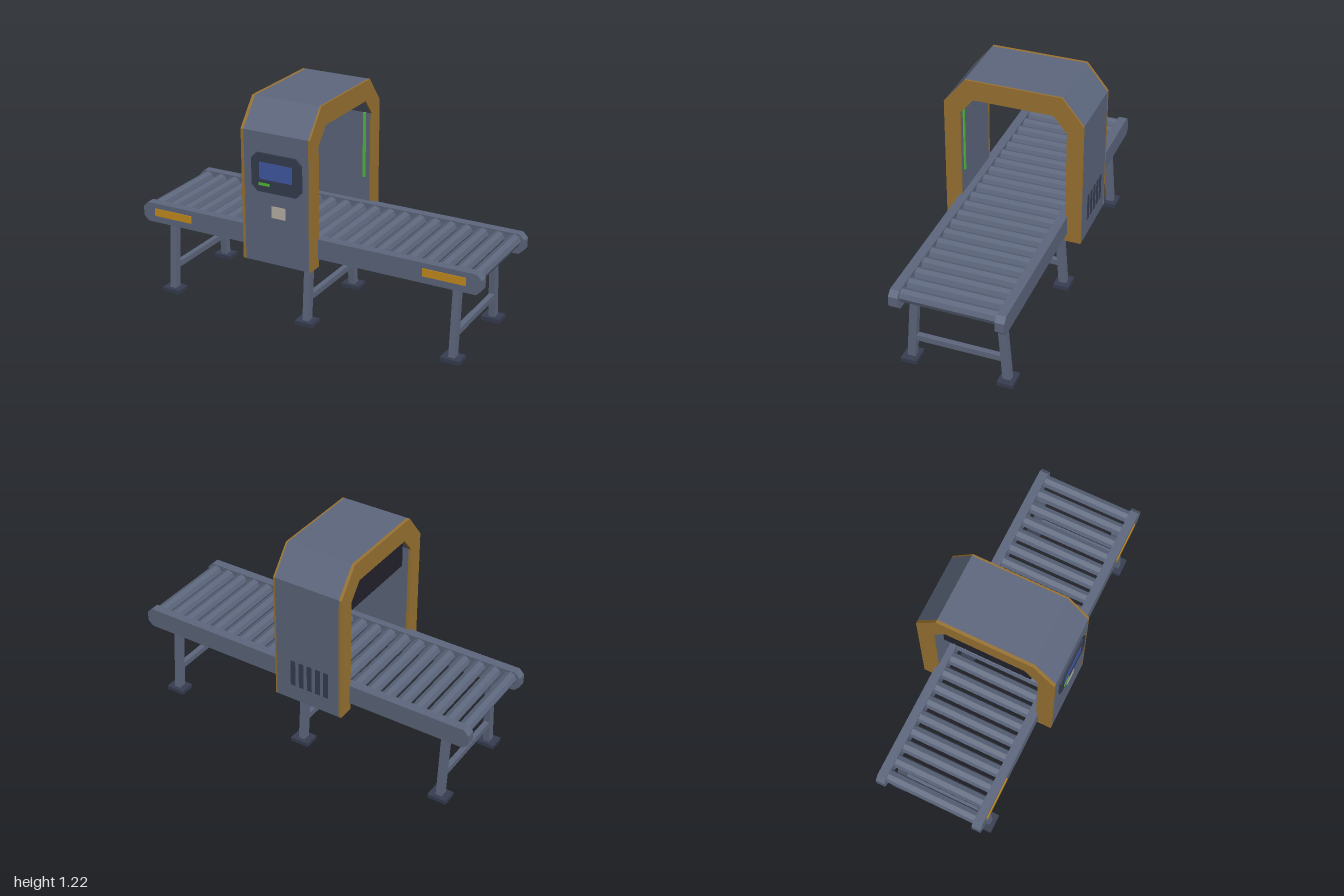
import * as THREE from 'three';

const mat = (name, color) => {
  const m = new THREE.MeshStandardMaterial({ color });
  m.name = name;
  return m;
};

export function createModel() {
  const steel = mat('steel', 0x5d677d);
  const dark = mat('dark steel', 0x373d51);
  const trim = mat('ochre trim', 0x9a7333);
  const amber = mat('amber marker', 0xc68c1e);
  const rubber = mat('black rubber', 0x23222e);
  const blue = mat('screen blue', 0x4159a3);
  const green = mat('green light', 0x52bd36);
  const beige = mat('beige label', 0xb9b4a8);

  const model = new THREE.Group();
  model.name = 'conveyorScanner';
  const body = new THREE.Group();
  body.name = 'scannerAssembly';
  body.position.z = -0.005;
  model.add(body);

  const add = (name, geo, material, parent = body) => {
    const mesh = new THREE.Mesh(geo, material);
    mesh.name = name;
    parent.add(mesh);
    return mesh;
  };
  // box given by its min and max on each axis
  const box = (name, material, [x0, x1], [y0, y1], [z0, z1], parent) => {
    const geo = new THREE.BoxGeometry(x1 - x0, y1 - y0, z1 - z0);
    geo.translate((x0 + x1) / 2, (y0 + y1) / 2, (z0 + z1) / 2);
    return add(name, geo, material, parent);
  };
  const extrude = (points, depth) => new THREE.ExtrudeGeometry(
    new THREE.Shape(points.map(([a, b]) => new THREE.Vector2(a, b))),
    { depth, bevelEnabled: false });
  // profile of [z, y] points swept along x
  const sweepX = (points, x0, x1) =>
    extrude(points.map(([z, y]) => [-z, y]), x1 - x0).rotateY(Math.PI / 2).translate(x0, 0, 0);
  // rectangle with cut corners
  const cutRect = (x0, x1, y0, y1, c) => [
    [x0 + c, y0], [x1 - c, y0], [x1, y0 + c], [x1, y1 - c],
    [x1 - c, y1], [x0 + c, y1], [x0, y1 - c], [x0, y0 + c]];

  // scanner arch: steel shell with ochre end frames
  const half = [[0.291, 0.362], [0.38, 0.362], [0.38, 1.078], [0.262, 1.224]];
  const inner = [[0.217, 1.113], [0.291, 1.023]];
  const flip = pts => pts.map(([z, y]) => [-z, y]).reverse();
  const arch = [...half, ...flip(half), ...flip(inner), ...inner];
  add('archShell', sweepX(arch, -0.296, 0.08), steel);
  add('archFrameRight', sweepX(arch, -0.313, -0.296), trim);
  add('archFrameLeft', sweepX(arch, 0.08, 0.09), trim);

  // control panel on the front wall
  const panel = new THREE.Group();
  panel.name = 'controlPanel';
  panel.position.z = 0.38;
  body.add(panel);
  add('panelHousing', extrude(cutRect(-0.248, 0.045, 0.76, 0.97, 0.033), 0.01), dark, panel);
  box('screen', blue, [-0.2, -0.008], [0.83, 0.922], [0.009, 0.012], panel);
  box('statusBar', green, [-0.205, -0.142], [0.795, 0.81], [0.009, 0.012], panel);
  box('label', beige, [-0.136, -0.056], [0.623, 0.687], [-0.001, 0.003], panel);

  // vent slots on the back wall
  for (let i = 0; i < 5; i++) {
    const x = -0.12 + (i - 2) * 0.05;
    box('ventSlot', dark, [x - 0.014, x + 0.014], [0.455, 0.607], [-0.383, -0.379]);
  }

  // curtain strips at one mouth of the tunnel
  for (let i = 0; i < 8; i++) {
    const z = (i - 3.5) * 0.0612;
    box('curtainStrip', rubber, [-0.288, -0.28], [0.943, 1.115], [z - 0.0285, z + 0.0285]);
  }

  // rollers
  const roller = new THREE.CylinderGeometry(0.036, 0.036, 0.51, 8).rotateX(Math.PI / 2).toNonIndexed();
  roller.computeVertexNormals();
  for (let i = 0; i < 22; i++) {
    add('roller', roller, steel).position.set(-0.945 + i * 0.09, 0.48, 0);
  }

  for (const s of [1, -1]) {
    const span = (a, b) => (s > 0 ? [a, b] : [-b, -a]);
    // side rail and tunnel light
    const rail = extrude(cutRect(-1, 1, 0.409, 0.519, 0.028), 0.05);
    add('sideRail', rail, steel).position.z = s > 0 ? 0.253 : -0.303;
    box('lightStrip', green, [0.04, 0.055], [0.655, 1.025], span(0.284, 0.292));

    // splayed legs and feet
    for (const x of [-0.845, 0, 0.845]) {
      const leg = [[0.238, 0.022], [0.282, 0.022], [0.249, 0.45], [0.205, 0.45]];
      add('leg', sweepX(s > 0 ? leg : flip(leg), x - 0.018, x + 0.018), steel);
      box('foot', dark, [x - 0.053, x + 0.053], [0, 0.022], span(0.219, 0.305));
    }
  }

  // cross braces between the legs
  for (const x of [-0.845, 0, 0.845]) {
    box('crossBrace', steel, [x - 0.015, x + 0.015], [0.13, 0.162], [-0.235, 0.235]);
  }

  // amber markers on the front rail
  for (const x of [-0.807, 0.799]) {
    box('railMarker', amber, [x - 0.118, x + 0.118], [0.447, 0.49], [0.302, 0.307]);
  }

  return model;
}
